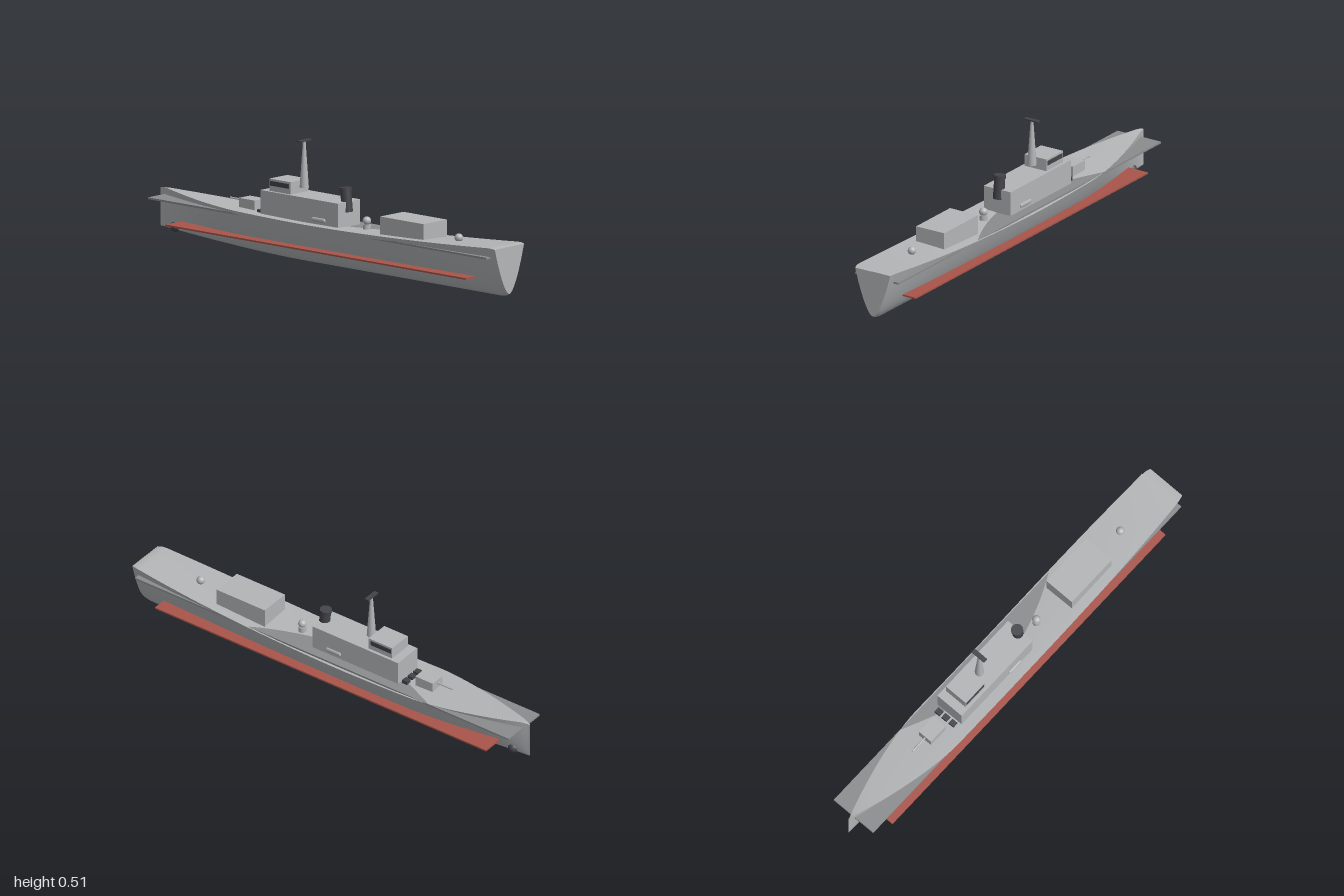
import * as THREE from 'three';

const mat = (name, color) => {
  const m = new THREE.MeshStandardMaterial({ color });
  m.name = name;
  return m;
};

// Surface through rows of [x, y, z] points
function loft(rows) {
  const n = rows[0].length, index = [];
  for (let i = 0; i < rows.length - 1; i++) {
    for (let j = 0; j < n - 1; j++) {
      const a = i * n + j, b = a + n;
      index.push(a, b, a + 1, b, b + 1, a + 1);
    }
  }
  const g = new THREE.BufferGeometry();
  g.setAttribute('position', new THREE.Float32BufferAttribute(rows.flat(2), 3));
  g.setIndex(index);
  g.computeVertexNormals();
  return g;
}

// Hull rules: half-beam, keel height and sheer height (right and left edges differ)
function halfBeam(z) {
  let b = 0.117;
  if (z < -0.45) b *= 1 - Math.pow((-0.45 - z) / 0.55, 1.6);
  if (z > 0) b -= 0.022 * z ** 3;
  if (z > 0.96) b -= 0.006 * ((z - 0.96) / 0.04) ** 2;
  return Math.max(b, 0.0015);
}
function keel(z) {
  if (z < -0.2) return 0.04 * Math.pow((-0.2 - z) / 0.8, 1.6);
  return z > 0.96 ? 0.012 * ((z - 0.96) / 0.04) ** 2 : 0;
}
function sheer(z, s) {
  const t = Math.pow(Math.abs(z + 0.08), 1.75);
  const end = z > 0.96 ? 0.006 * ((z - 0.96) / 0.04) ** 2 : 0;
  const bow = z < -0.96 ? 0.008 * ((-0.96 - z) / 0.04) ** 2 : 0;
  const right = 0.165 + 0.048 * t, left = 0.182 + 0.032 * t;
  const k = (s + 1) / 2;
  return left + (right - left) * k + 0.003 * (1 - s * s) * (1 - Math.abs(z)) - end - bow;
}

export function createModel() {
  const root = new THREE.Group();
  root.name = 'warship';
  const grey = mat('hull grey', 0xb3b5b7);
  grey.side = THREE.DoubleSide;
  const plateGrey = mat('plate grey', 0x8a8c8e);
  const red = mat('waterline red', 0xa9544a);
  const dark = mat('funnel dark', 0x44434a);

  const add = (name, geo, material, x = 0, y = 0, z = 0) => {
    const m = new THREE.Mesh(geo, material);
    m.name = name;
    m.position.set(x, y, z);
    root.add(m);
    return m;
  };
  // Box from its extents in y and z, centred on x
  const block = (name, material, w, y0, y1, z0, z1, x = 0) =>
    add(name, new THREE.BoxGeometry(w, y1 - y0, z1 - z0), material, x, (y0 + y1) / 2, (z0 + z1) / 2);

  // Hull sides, deck and transom
  const stations = [-1, -0.99, -0.975, -0.96];
  for (let i = 0; i <= 46; i++) stations.push(-0.92 + i * 0.04);
  stations.push(0.96, 0.975, 0.99, 1);
  const N = 12;
  const section = z => {
    const pts = [];
    for (let j = -N; j <= N; j++) {
      const s = j <= 0 ? 1 : -1, t = (Math.abs(j) / N) ** 1.5;
      const k = keel(z), top = sheer(z, s);
      pts.push([s * halfBeam(z) * Math.pow(t, 0.6), k + (top - k) * t, z]);
    }
    return pts;
  };
  const deckRow = z => {
    const pts = [];
    for (let j = 0; j <= 12; j++) {
      const s = j / 6 - 1;
      pts.push([s * halfBeam(z), sheer(z, s), z]);
    }
    return pts;
  };
  add('hullSides', loft(stations.map(section)), grey);
  add('deck', loft(stations.map(deckRow)), grey);
  const stern = section(1);
  add('transom', loft([stern, stern.map(p => [0, p[1], p[2]])]), grey);

  // Long flat plates through the hull
  block('deckEdgePlate', plateGrey, 0.22, 0.17, 0.178, -0.97, 0.97);
  block('waterlinePlate', red, 0.24, 0.071, 0.078, -0.86, 0.86);

  // Superstructure
  block('mainBlock', grey, 0.136, 0.165, 0.284, -0.365, 0.08);
  block('bridge', grey, 0.11, 0.284, 0.336, -0.325, -0.203);
  block('hangar', grey, 0.142, 0.17, 0.263, 0.325, 0.575);
  for (const s of [-1, 1]) {
    block('bridgeWindow', dark, 0.004, 0.307, 0.327, -0.32, -0.213, s * 0.055);
    const boat = add('boat', new THREE.CapsuleGeometry(0.01, 0.06, 4, 10), grey, s * 0.069, 0.2, -0.03);
    boat.rotation.x = Math.PI / 2;
    boat.scale.x = 0.6;
  }
  for (const x of [-0.039, 0, 0.039]) block('forwardHatch', dark, 0.027, 0.17, 0.194, -0.4, -0.375, x);

  // Gun
  block('turret', grey, 0.068, 0.18, 0.225, -0.52, -0.43);
  add('barrel', new THREE.CylinderGeometry(0.004, 0.004, 0.1, 10), grey, 0, 0.211, -0.55).rotation.x = Math.PI / 2;

  // Mast and radar
  add('mast', new THREE.CylinderGeometry(0.006, 0.02, 0.197, 12), grey, 0, 0.4085, -0.177);
  block('radarBar', dark, 0.07, 0.507, 0.513, -0.187, -0.167);

  // Funnel, leaning slightly
  const funnel = new THREE.Group();
  funnel.name = 'funnel';
  const stack = new THREE.Mesh(new THREE.CylinderGeometry(0.023, 0.024, 0.1, 14), dark);
  stack.name = 'funnelStack';
  const cap = new THREE.Mesh(new THREE.CylinderGeometry(0.026, 0.026, 0.014, 14), dark);
  cap.name = 'funnelCap';
  cap.position.y = 0.046;
  funnel.add(stack, cap);
  funnel.position.set(0, 0.289, 0.065);
  funnel.rotation.x = -0.1;
  root.add(funnel);

  // Radar domes
  const ball = new THREE.SphereGeometry(0.018, 18, 12);
  add('aftDome', ball, grey, 0, 0.214, 0.71);
  add('midDome', ball, grey, 0, 0.216, 0.182);
  add('midDomeBase', new THREE.CylinderGeometry(0.017, 0.017, 0.032, 16), grey, 0, 0.186, 0.182);

  // Bow bulb
  add('bowBulb', new THREE.SphereGeometry(0.023, 12, 8), dark, 0, 0.046, -0.915);

  return root;
}
